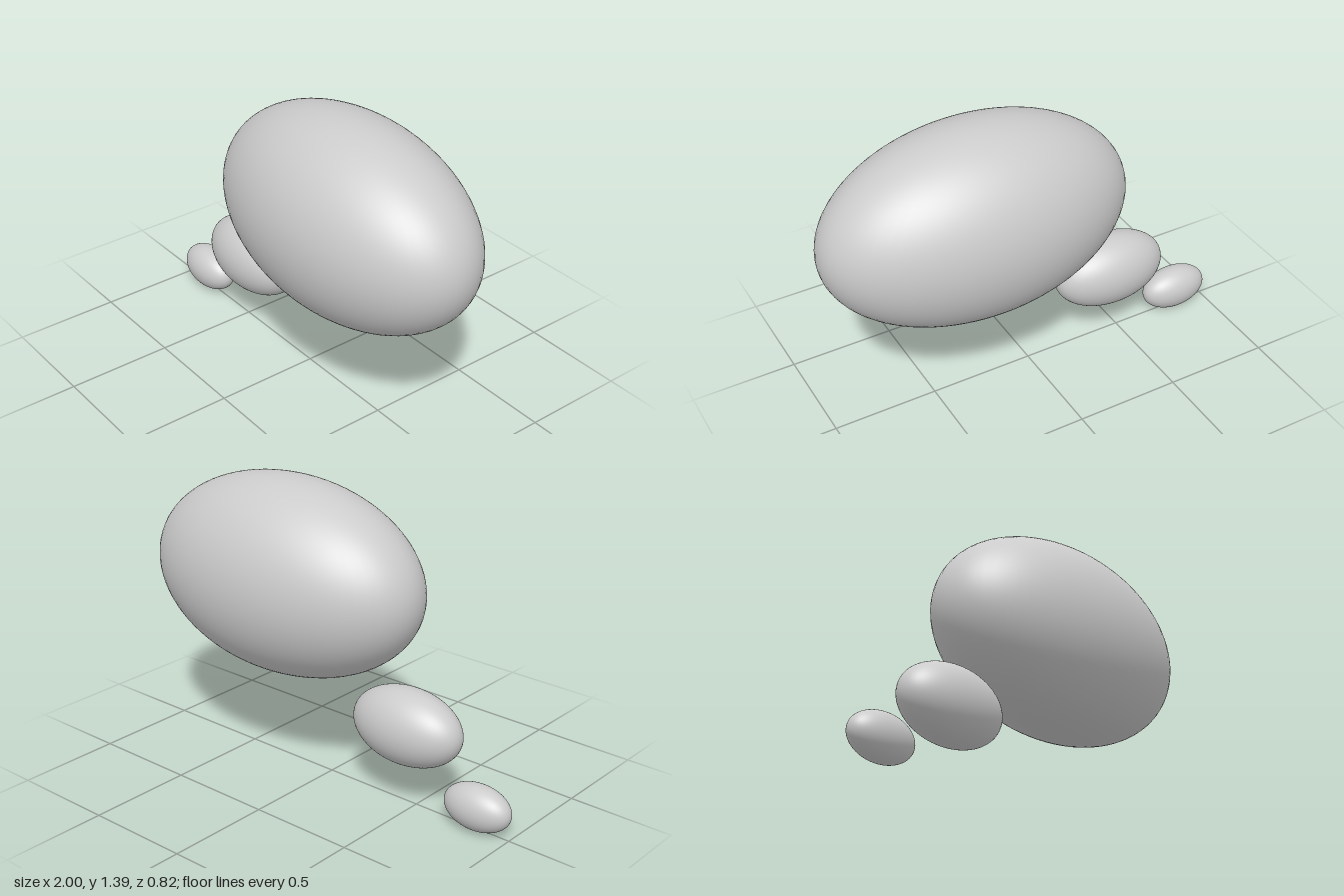
import * as THREE from 'three';

// Thought bubble trail: three smooth ellipsoids of the same proportions
const PROPORTIONS = new THREE.Vector3(1, 0.631, 0.56);

export function createModel() {
  const group = new THREE.Group();
  group.name = 'thoughtBubble';
  const material = new THREE.MeshStandardMaterial({ color: 0xcccccc });
  const sphere = new THREE.SphereGeometry(1, 64, 48);

  // name, centre x, centre y, half length along x
  const bubbles = [
    ['mainBubble', 0.266, 0.924, 0.734],
    ['middleBubble', -0.441, 0.373, 0.283],
    ['smallBubble', -0.832, 0.107, 0.168],
  ];
  for (const [name, x, y, radius] of bubbles) {
    const mesh = new THREE.Mesh(sphere, material);
    mesh.name = name;
    mesh.position.set(x, y, 0);
    mesh.scale.copy(PROPORTIONS).multiplyScalar(radius);
    group.add(mesh);
  }
  return group;
}
